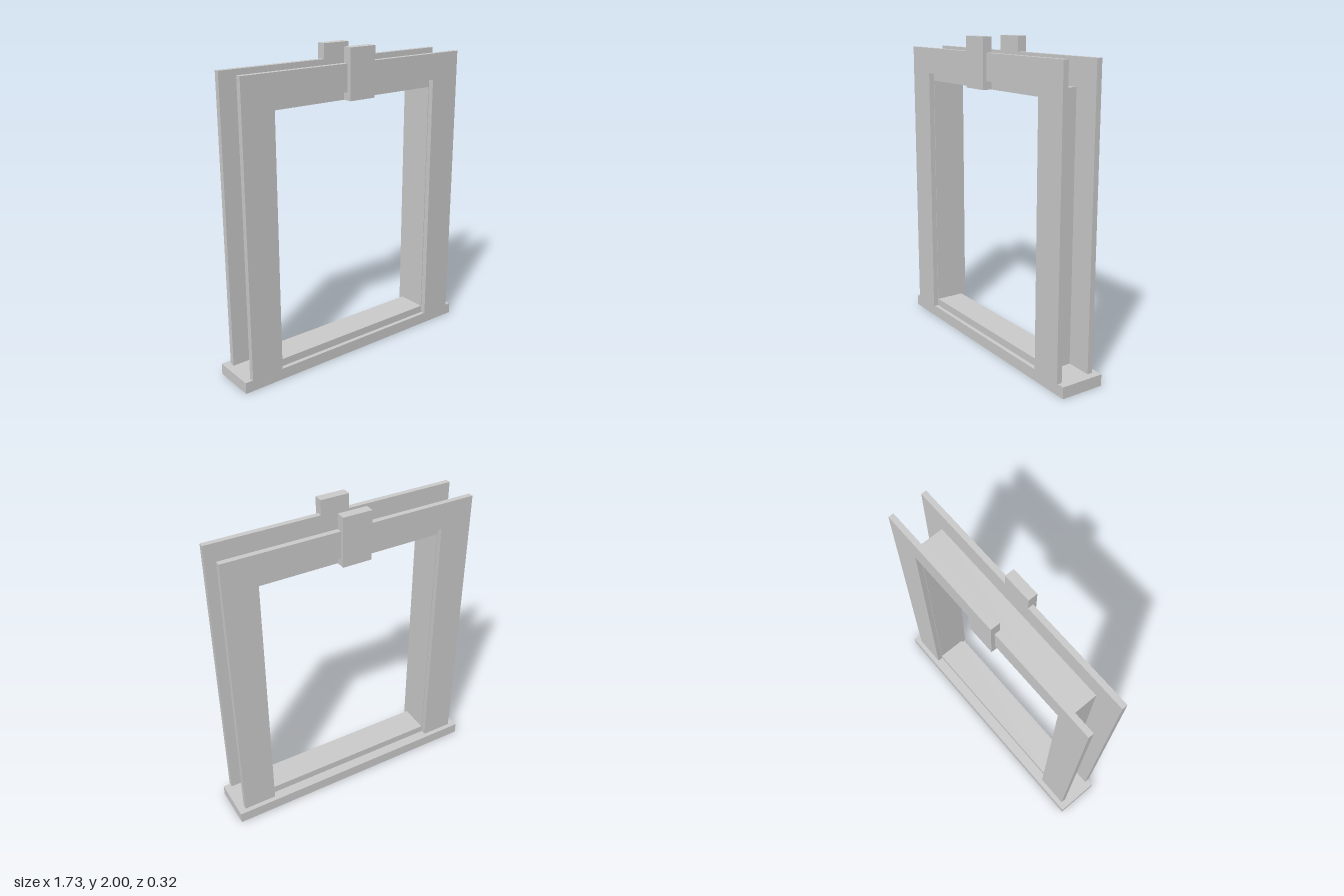
import * as THREE from 'three';

const material = new THREE.MeshStandardMaterial({ color: 0xcccccc, flatShading: true });

// Box given by its minimum and maximum corners
function block(name, [x0, y0, z0], [x1, y1, z1]) {
  const mesh = new THREE.Mesh(new THREE.BoxGeometry(x1 - x0, y1 - y0, z1 - z0), material);
  mesh.name = name;
  mesh.position.set((x0 + x1) / 2, (y0 + y1) / 2, (z0 + z1) / 2);
  return mesh;
}

// Closed shape from corner points
function polygon(points) {
  return new THREE.Shape(points.map(([x, y]) => new THREE.Vector2(x, y)));
}

// Flat outline extruded from z0 to z1
function plate(name, shape, z0, z1) {
  const geometry = new THREE.ExtrudeGeometry(shape, { depth: z1 - z0, bevelEnabled: false });
  const mesh = new THREE.Mesh(geometry, material);
  mesh.name = name;
  mesh.position.z = z0;
  return mesh;
}

export function createModel() {
  const model = new THREE.Group();
  model.name = 'windowFrame';

  const baseTop = 0.073;
  const liningFront = 0.1, liningBack = -0.094;
  const casingDepth = 0.035, keyDepth = 0.06;

  // Projecting sill slab at the bottom
  model.add(block('sill', [-0.866, 0, -0.16], [0.866, baseTop, 0.127]));

  // Four-sided lining with a rectangular opening
  const lining = polygon([[-0.653, baseTop], [0.653, baseTop], [0.653, 1.739], [-0.653, 1.739]]);
  lining.holes.push(polygon([[-0.602, 0.122], [-0.602, 1.688], [0.602, 1.688], [0.602, 0.122]]));
  model.add(plate('lining', lining, liningBack, liningFront));

  // Casing outline: two legs joined by a head
  const casing = polygon([
    [-0.819, baseTop], [-0.606, baseTop], [-0.606, 1.739], [0.606, 1.739],
    [0.606, baseTop], [0.819, baseTop], [0.819, 1.906], [-0.819, 1.906],
  ]);
  model.add(plate('frontCasing', casing, liningFront, liningFront + casingDepth));
  model.add(plate('backCasing', casing, liningBack - casingDepth, liningBack));

  // Key blocks at the middle of each head
  model.add(block('frontKeyBlock', [-0.094, 1.688, liningFront], [0.094, 2, liningFront + keyDepth]));
  model.add(block('backKeyBlock', [-0.094, 1.688, liningBack - keyDepth], [0.094, 2, liningBack]));

  return model;
}
